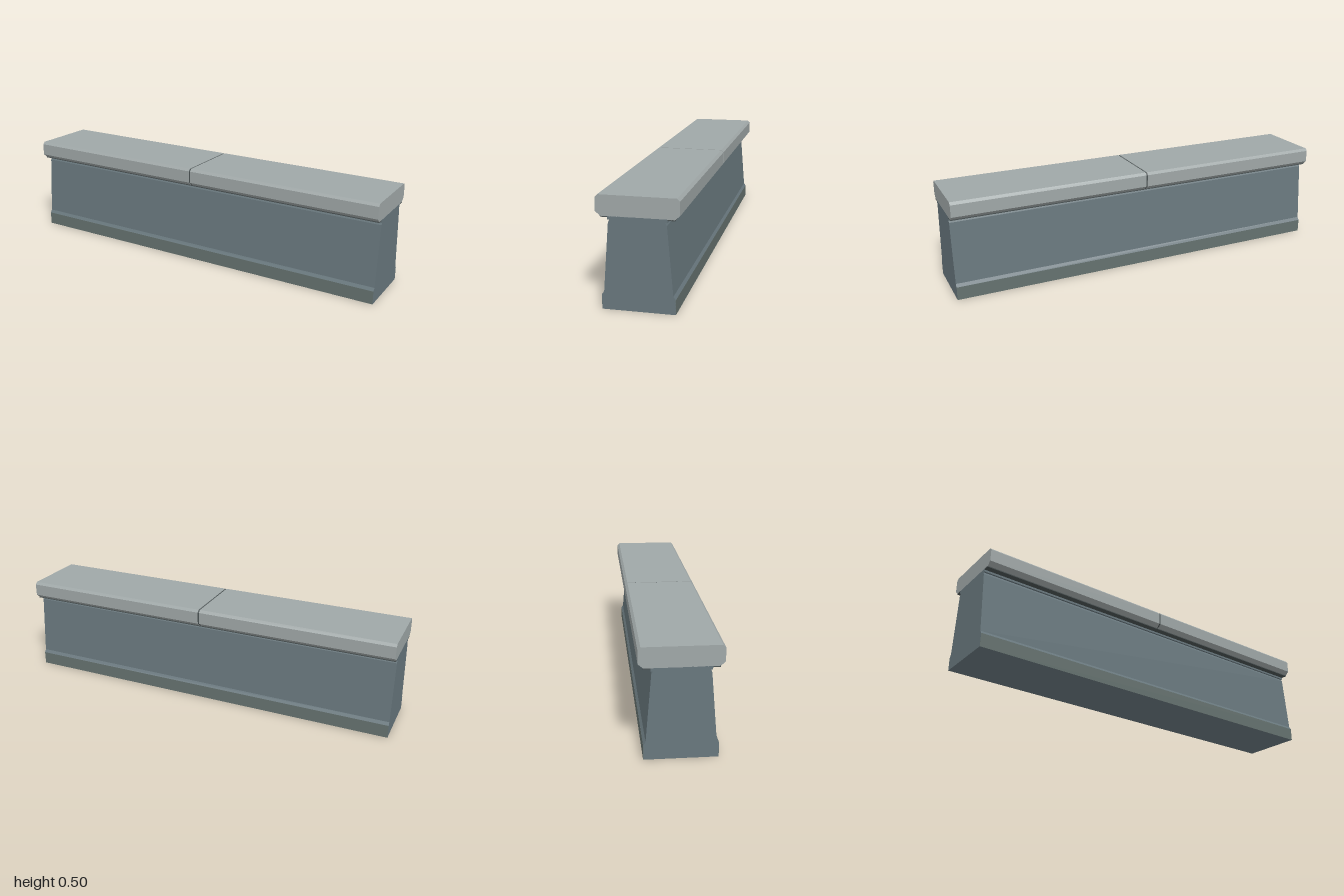
import * as THREE from 'three';

const mat = (name, color) => {
  const m = new THREE.MeshStandardMaterial({ color });
  m.name = name;
  return m;
};

// Extrudes a mirrored half profile of [z, y] points (bottom to top) along x from x0 to x1
function prism(name, half, x0, x1, material) {
  const pts = [...half, ...half.map(([z, y]) => [-z, y]).reverse()];
  const shape = new THREE.Shape(pts.map(([z, y]) => new THREE.Vector2(-z, y)));
  const geo = new THREE.ExtrudeGeometry(shape, { depth: x1 - x0, bevelEnabled: false });
  geo.rotateY(Math.PI / 2).translate(x0, 0, 0);
  const mesh = new THREE.Mesh(geo, material);
  mesh.name = name;
  return mesh;
}

export function createModel() {
  const wallStone = mat('wall stone', 0x68777d);
  const plinthStone = mat('weathered plinth stone', 0x65726f);
  const capStone = mat('coping stone', 0x9fa7a7);
  const shadowStone = mat('dark joint', 0x4b5354);

  const group = new THREE.Group();
  group.name = 'barrierWall';

  // Tapered wall with a stepped foot
  group.add(prism('wallBody', [
    [0.16, 0], [0.16, 0.066], [0.15, 0.081], [0.125, 0.385], [0.119, 0.397],
  ], -1, 1, wallStone));

  // Weathered faces of the foot
  for (const side of [-1, 1]) {
    const face = new THREE.Mesh(new THREE.BoxGeometry(2, 0.066, 0.001), plinthStone);
    face.position.set(0, 0.033, side * 0.16);
    face.name = side > 0 ? 'plinthFaceFront' : 'plinthFaceBack';
    group.add(face);
  }

  // Neck between wall and coping
  group.add(prism('neck', [[0.128, 0.397], [0.128, 0.412]], -1, 1, wallStone));

  // Dark drip strips beneath the coping
  for (const side of [-1, 1]) {
    const drip = new THREE.Mesh(new THREE.BoxGeometry(2, 0.005, 0.031), shadowStone);
    drip.position.set(0, 0.4095, side * 0.1435);
    drip.name = side > 0 ? 'dripStripFront' : 'dripStripBack';
    group.add(drip);
  }

  // Two chamfered coping slabs
  const capProfile = [[0.158, 0.411], [0.18, 0.43], [0.18, 0.49], [0.168, 0.502]];
  group.add(prism('copingRight', capProfile, -1, -0.004, capStone));
  group.add(prism('copingLeft', capProfile, 0.004, 1, capStone));

  // Recessed joint between the slabs
  group.add(prism('copingJoint', [
    [0.156, 0.412], [0.178, 0.431], [0.178, 0.489], [0.167, 0.5],
  ], -0.004, 0.004, shadowStone));

  return group;
}
